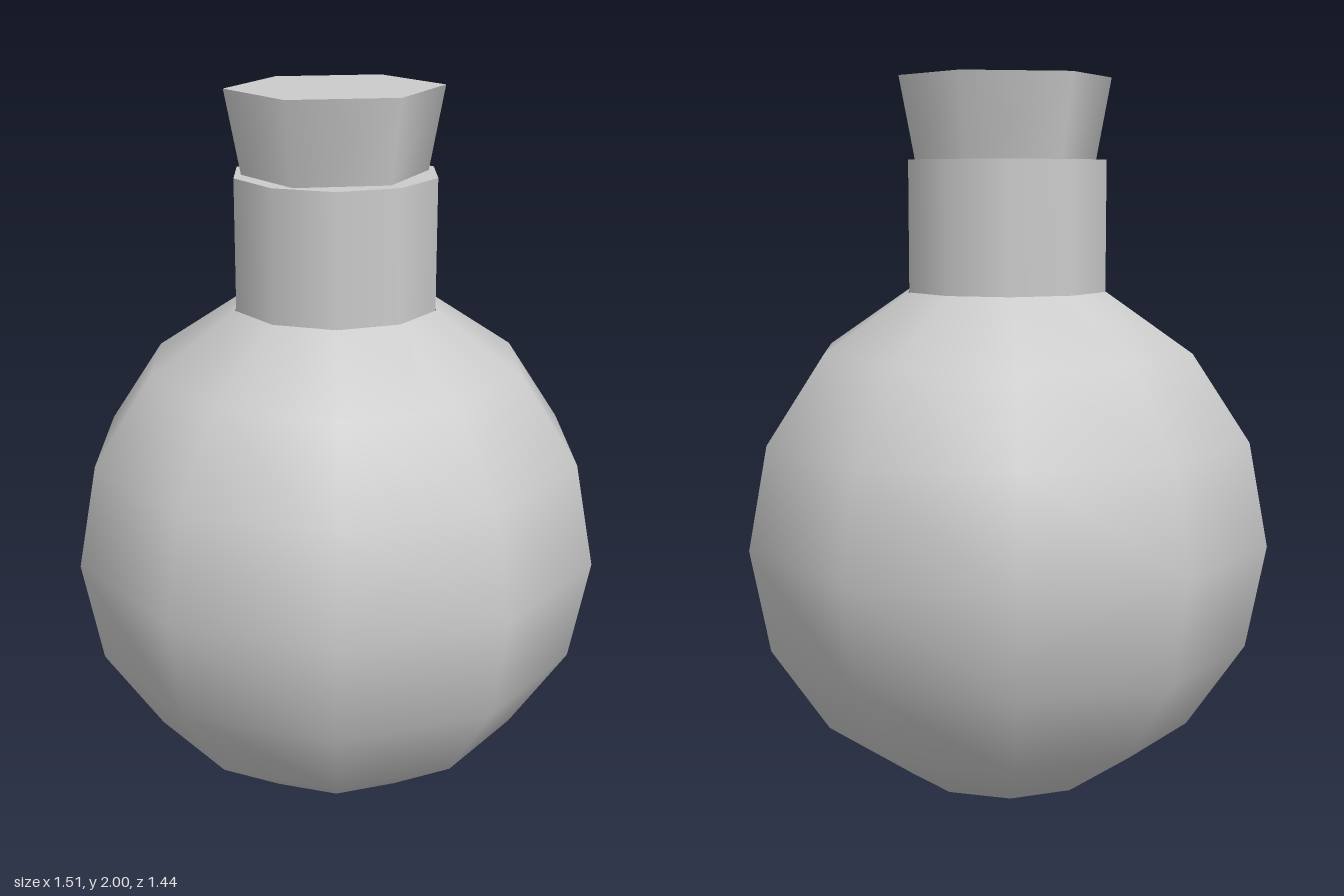
import * as THREE from 'three';

export function createModel() {
  const group = new THREE.Group();
  const material = new THREE.MeshStandardMaterial({ color: 0xcccccc });
  const add = (name, geometry) => {
    const mesh = new THREE.Mesh(geometry, material);
    mesh.name = name;
    group.add(mesh);
    return mesh;
  };
  const start = Math.PI / 2; // puts a corner on the x axis

  // Round ten-sided body with a small flat base
  const profile = [
    [0, 0], [0.29, 0], [0.537, 0.17], [0.7, 0.413], [0.755, 0.704],
    [0.7, 0.995], [0.537, 1.238], [0.29, 1.405],
  ].map(([r, y]) => new THREE.Vector2(r, y));
  add('flaskBody', new THREE.LatheGeometry(profile, 10, start));

  // Straight neck
  const neckBottom = 1.4, neckTop = 1.77;
  const neck = add('neck', new THREE.CylinderGeometry(0.288, 0.288, neckTop - neckBottom, 10, 1, false, start));
  neck.position.y = (neckBottom + neckTop) / 2;

  // Six-sided tapered stopper, slightly deeper than wide
  const stopper = add('stopper', new THREE.CylinderGeometry(0.285, 0.244, 2 - neckTop, 6, 1, false, start));
  stopper.position.y = (neckTop + 2) / 2;
  stopper.scale.z = 1.08;

  return group;
}
